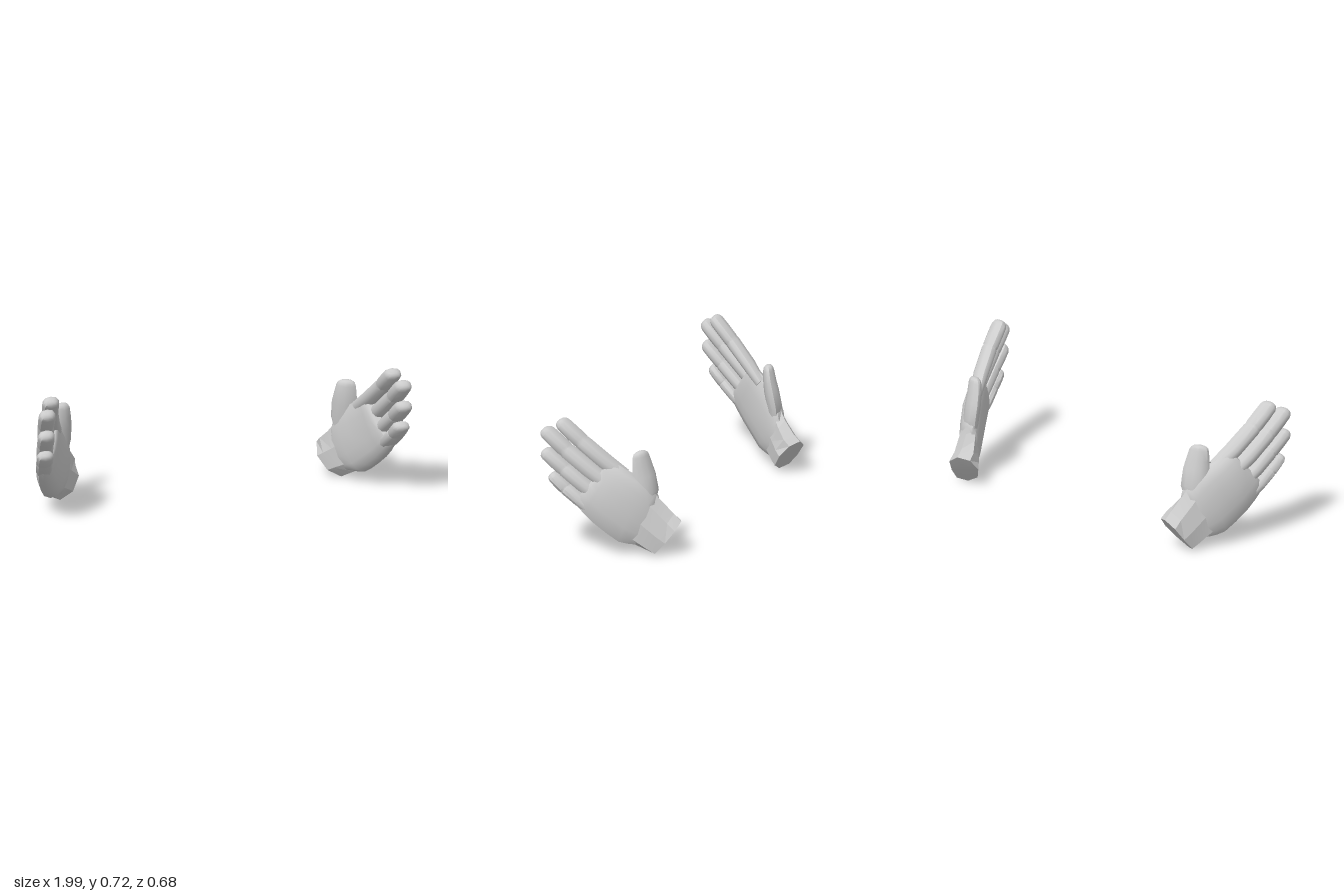
import * as THREE from 'three';
import { toCreasedNormals } from 'three/addons/utils/BufferGeometryUtils.js';

// Sideways sweep of the hand: x of its middle surface at a given z
const SWEEP = [[-0.36, 0.7], [-0.27, 0.71], [-0.2, 0.748], [-0.1, 0.812], [0, 0.866], [0.1, 0.902], [0.2, 0.925], [0.36, 0.955]];
function sweepX(z) {
  for (let i = 1; i < SWEEP.length; i++) {
    const [z0, x0] = SWEEP[i - 1], [z1, x1] = SWEEP[i];
    if (z <= z1 || i === SWEEP.length - 1) return x0 + (x1 - x0) * (z - z0) / (z1 - z0);
  }
}

// Closed skin over sections [lower z, lower y, upper z, upper y, half thickness, x offset, tilt, lean].
// Tilt moves the lower edge outwards; lean sets the outer face back along the arm.
function loft(sections, n, side, crease) {
  const pos = [], idx = [];
  const tri = (a, b, c) => (side > 0 ? idx.push(a, b, c) : idx.push(a, c, b));
  const put = (z, y, dx, back) => pos.push(side * (sweepX(z) + dx), y - back * 0.69, z - back * 0.725);
  sections.forEach(([lz, ly, uz, uy, t, off, tilt = 0, lean = 0], i) => {
    for (let j = 0; j < n; j++) {
      const a = (j / n) * Math.PI * 2, c = Math.cos(a), s = Math.sin(a);
      const k = Math.sign(s) * Math.pow(Math.abs(s), 0.7);
      put((lz + uz) / 2 + c * (lz - uz) / 2, (ly + uy) / 2 + c * (ly - uy) / 2, off + k * t + c * tilt, k * lean);
    }
    if (i === 0) return;
    for (let j = 0; j < n; j++) {
      const a = (i - 1) * n + j, b = (i - 1) * n + (j + 1) % n;
      tri(a, b, b + n);
      tri(a, b + n, a + n);
    }
  });
  // End caps
  [0, sections.length - 1].forEach((i, end) => {
    const [lz, ly, uz, uy, , off] = sections[i], c = pos.length / 3;
    put((lz + uz) / 2, (ly + uy) / 2, off, 0);
    for (let j = 0; j < n; j++) {
      const a = i * n + j, b = i * n + (j + 1) % n;
      if (end) tri(c, a, b); else tri(c, b, a);
    }
  });
  const g = new THREE.BufferGeometry();
  g.setAttribute('position', new THREE.Float32BufferAttribute(pos, 3));
  g.setIndex(idx);
  return toCreasedNormals(g, crease);
}

// Finger sections along points [z, y, half width, half thickness, x offset], closed by a rounded tip
function fingerSections(points) {
  const rows = points.map((p) => [...p]);
  const a = points[points.length - 2], b = points[points.length - 1];
  const len = Math.hypot(b[0] - a[0], b[1] - a[1]);
  const d = [(b[0] - a[0]) / len, (b[1] - a[1]) / len];
  [[0.5, 0.86], [0.8, 0.6], [0.92, 0.3]].forEach(([f, s]) => {
    rows.push([b[0] + d[0] * b[2] * f, b[1] + d[1] * b[2] * f, b[2] * s, b[3] * s, b[4]]);
  });
  return rows.map(([z, y, w, t, off], i) => {
    const p = rows[Math.max(i - 1, 0)], q = rows[Math.min(i + 1, rows.length - 1)];
    const l = Math.hypot(q[0] - p[0], q[1] - p[1]);
    const az = (q[1] - p[1]) / l * w, ay = -(q[0] - p[0]) / l * w;
    return [z + az, y + ay, z - az, y - ay, t, off];
  });
}

// Straight finger with a fine crease at the middle joint
function finger(base, joint, tip, w, off) {
  const mix = (p, q, f) => [p[0] + (q[0] - p[0]) * f, p[1] + (q[1] - p[1]) * f];
  return fingerSections([
    [...base, w * 0.9, 0.036, off],
    [...mix(base, joint, 0.4), w, 0.045, off],
    [...mix(base, joint, 0.95), w * 1.02, 0.045, off],
    [...joint, w * 0.97, 0.042, off],
    [...mix(joint, tip, 0.1), w * 1.02, 0.045, off],
    [...mix(joint, tip, 0.6), w, 0.046, off],
    [...tip, w * 0.95, 0.045, off],
  ]);
}

const WRIST = [
  [-0.2, 0, -0.34, 0.18, 0.076, 0, 0, 0.022],
  [-0.165, 0.022, -0.3, 0.215, 0.073, 0, 0, 0.015],
  [-0.12, 0.05, -0.245, 0.275, 0.067, 0],
  [-0.08, 0.075, -0.21, 0.32, 0.058, 0],
];
const PALM = [
  [-0.13, 0.05, -0.225, 0.27, 0.06, 0],
  [-0.095, 0.056, -0.215, 0.315, 0.067, 0],
  [-0.055, 0.066, -0.185, 0.37, 0.069, 0],
  [0, 0.112, -0.142, 0.415, 0.068, 0],
  [0.065, 0.17, -0.085, 0.452, 0.062, 0, 0.006],
  [0.11, 0.217, -0.038, 0.484, 0.055, -0.003, 0.012],
  [0.145, 0.258, -0.008, 0.498, 0.048, -0.005, 0.018],
  [0.162, 0.28, 0.01, 0.485, 0.034, -0.005, 0.02],
];
const FINGERS = {
  indexFinger: finger([-0.06, 0.425], [0.14, 0.601], [0.236, 0.688], 0.034, -0.022),
  middleFinger: finger([0.0, 0.385], [0.21, 0.557], [0.306, 0.642], 0.036, 0.002),
  ringFinger: finger([0.055, 0.325], [0.215, 0.455], [0.303, 0.529], 0.035, 0.006),
  littleFinger: finger([0.085, 0.255], [0.205, 0.353], [0.264, 0.408], 0.031, 0.01),
};
const THUMB = fingerSections([
  [-0.165, 0.25, 0.035, 0.045, -0.005],
  [-0.17, 0.33, 0.046, 0.053, -0.012],
  [-0.152, 0.415, 0.046, 0.052, -0.024],
  [-0.141, 0.47, 0.039, 0.047, -0.03],
  [-0.134, 0.52, 0.032, 0.042, -0.032],
]);

export function createModel() {
  const skin = new THREE.MeshStandardMaterial({ color: 0xcccccc });
  skin.name = 'paleGrey';
  const model = new THREE.Group();
  model.name = 'pairOfHands';
  for (const side of [1, -1]) {
    const hand = new THREE.Group();
    hand.name = side > 0 ? 'leftHand' : 'rightHand';
    const add = (name, sections, n, crease) => {
      const mesh = new THREE.Mesh(loft(sections, n, side, crease), skin);
      mesh.name = name;
      hand.add(mesh);
    };
    add('wrist', WRIST, 8, 0.15);
    add('palm', PALM, 16, 0.8);
    add('thumb', THUMB, 10, 0.6);
    for (const name in FINGERS) add(name, FINGERS[name], 10, 0.7);
    model.add(hand);
  }
  return model;
}
